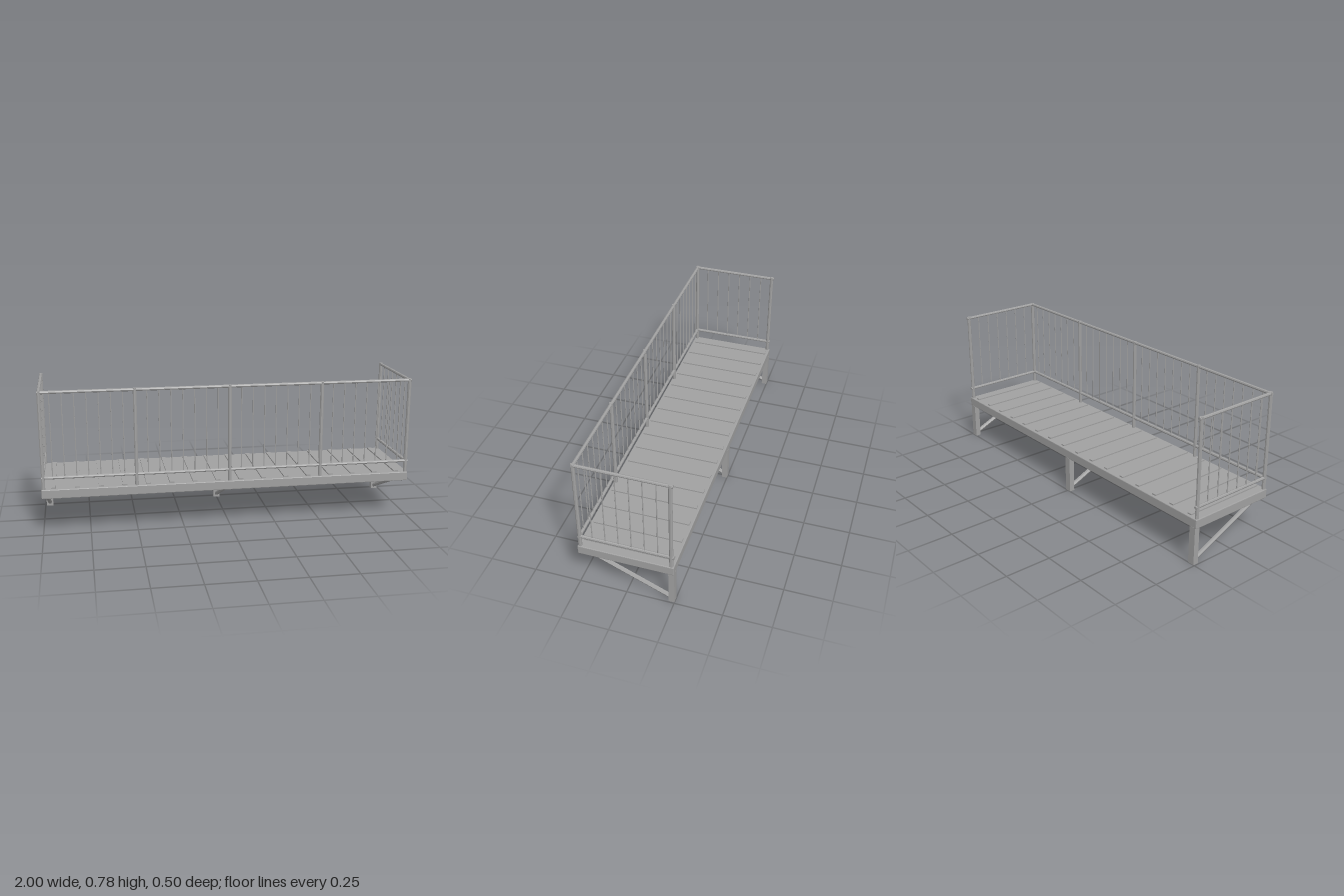
import * as THREE from 'three';
import { RoundedBoxGeometry } from 'three/addons/geometries/RoundedBoxGeometry.js';

export function createModel() {
  const root = new THREE.Group();
  root.name = 'balcony';
  const metal = new THREE.MeshStandardMaterial({ color: 0xa0a0a0 });
  metal.name = 'grey metal';
  metal.flatShading = true;

  const add = (name, geometry, x, y, z) => {
    const mesh = new THREE.Mesh(geometry, metal);
    mesh.name = name;
    mesh.position.set(x, y, z);
    root.add(mesh);
    return mesh;
  };

  // Straight round bar between two points
  const up = new THREE.Vector3(0, 1, 0);
  const bar = (name, from, to, radius, sides = 8, turn = 0) => {
    const a = new THREE.Vector3(...from);
    const b = new THREE.Vector3(...to);
    const geometry = new THREE.CylinderGeometry(radius, radius, a.distanceTo(b), sides);
    geometry.rotateY(turn);
    const mid = a.clone().add(b).multiplyScalar(0.5);
    const mesh = add(name, geometry, mid.x, mid.y, mid.z);
    mesh.quaternion.setFromUnitVectors(up, b.sub(a).normalize());
  };

  // Deck slab and cross battens
  add('deck', new RoundedBoxGeometry(2, 0.05, 0.5, 1, 0.004), 0, 0.225, 0);
  for (let i = 0; i < 16; i++) {
    add('deckBatten', new THREE.BoxGeometry(0.025, 0.01, 0.47), -0.9375 + i * 0.125, 0.252, 0);
  }

  const endX = 0.988, frontZ = 0.237, backZ = -0.235;
  const lowY = 0.312, topY = 0.767;

  // Posts along the front and at the back corners
  const post = (x, z) => bar('post', [x, 0.245, z], [x, 0.775, z], 0.01, 8, Math.PI / 8);
  for (const x of [-endX, -0.5, 0, 0.5, endX]) post(x, frontZ);
  for (const x of [-endX, endX]) post(x, backZ);

  // Upper and lower rails
  for (const y of [lowY, topY]) {
    bar('frontRail', [-0.998, y, frontZ], [0.998, y, frontZ], 0.0085);
    for (const x of [-endX, endX]) bar('sideRail', [x, y, 0.245], [x, y, -0.249], 0.0085);
  }

  // Front balusters, skipping the intermediate posts
  for (let i = -15; i <= 15; i++) {
    if (i % 8 === 0) continue;
    bar('frontBaluster', [i * 0.0625, lowY, frontZ], [i * 0.0625, topY, frontZ], 0.0032, 6);
  }

  // Side balusters
  for (const x of [-endX, endX]) {
    for (let i = 1; i <= 6; i++) {
      const z = frontZ + (backZ - frontZ) * i / 7;
      bar('sideBaluster', [x, lowY, z], [x, topY, z], 0.0032, 6);
    }
  }

  // Wall brackets: upright leg with a diagonal brace
  for (const x of [-0.975, 0, 0.975]) {
    add('bracketLeg', new THREE.BoxGeometry(0.037, 0.202, 0.03), x, 0.101, -0.235);
    bar('bracketBrace', [x, 0.016, -0.235], [x, 0.199, 0.174], 0.0115, 6, Math.PI / 6);
  }

  return root;
}
